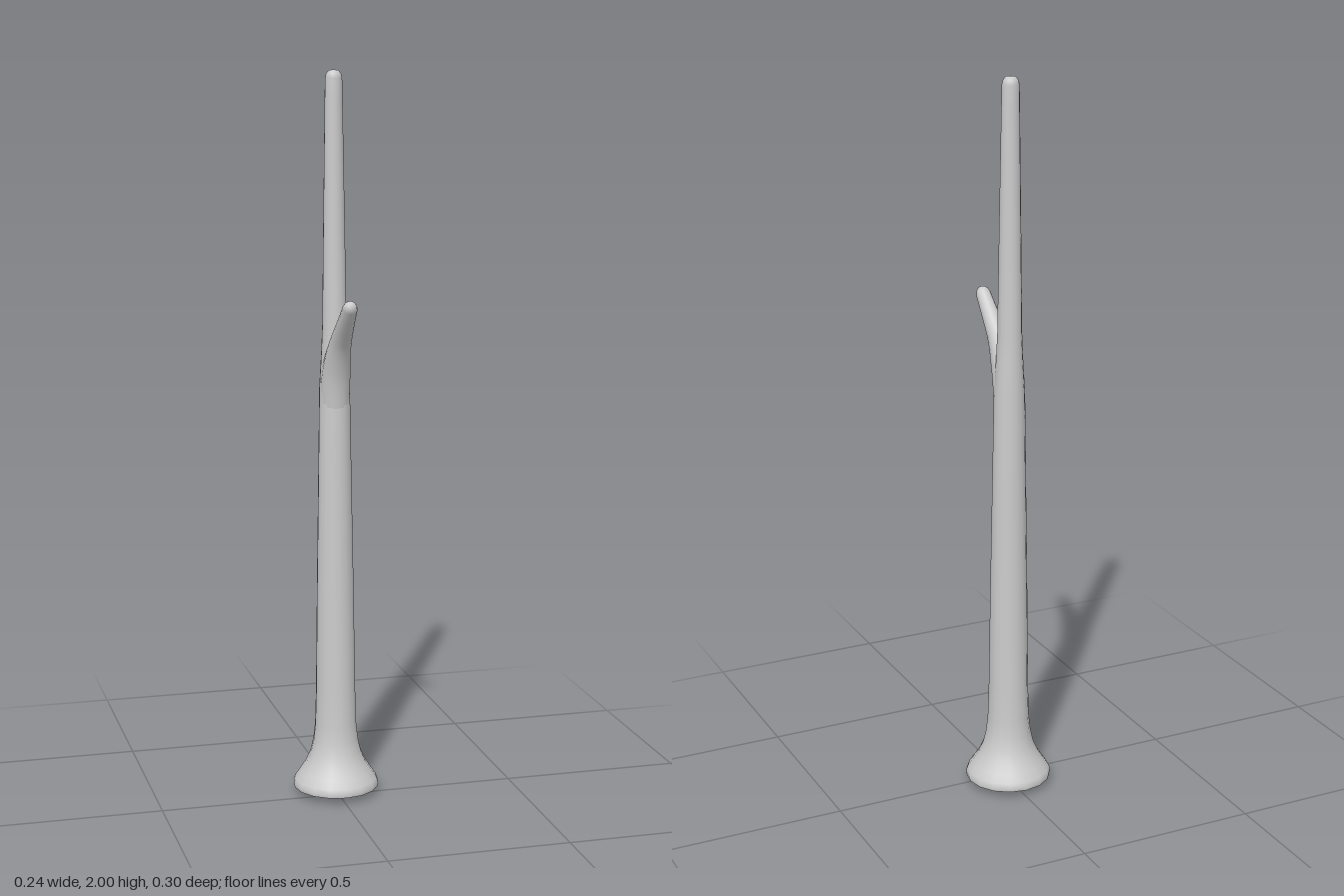
import * as THREE from 'three';
import { mergeVertices } from 'three/addons/utils/BufferGeometryUtils.js';

const SIDES = 16;
const AXIS_Z = -0.032;
const material = new THREE.MeshStandardMaterial({ color: 0xcccccc });

// Turned profile of [radius, height] pairs, welded so that it shades smoothly
function turned(profile, reshape) {
  let geo = new THREE.LatheGeometry(profile.map(([r, y]) => new THREE.Vector2(r, y)), SIDES);
  const pos = geo.attributes.position;
  const v = new THREE.Vector3();
  for (let i = 0; i < pos.count; i++) {
    reshape(v.fromBufferAttribute(pos, i));
    pos.setXYZ(i, v.x, v.y, v.z);
  }
  geo.deleteAttribute('normal');
  geo.deleteAttribute('uv');
  geo = mergeVertices(geo, 1e-5);
  geo.computeVertexNormals();
  return geo;
}

export function createModel() {
  const group = new THREE.Group();
  const add = (name, geo) => {
    const mesh = new THREE.Mesh(geo, material);
    mesh.name = name;
    group.add(mesh);
  };

  // The trunk drifts a little sideways as it rises
  const lean = (v) => v.set(v.x - 0.003 * v.y, v.y, v.z + AXIS_Z);

  // Trunk: flared foot, long taper, rounded top
  add('trunk', turned([
    [0.118, 0.02], [0.12, 0.03], [0.115, 0.043], [0.1, 0.065], [0.084, 0.09],
    [0.071, 0.12], [0.063, 0.155], [0.058, 0.2], [0.055, 0.3], [0.051, 0.6],
    [0.046, 0.9], [0.042, 1.15], [0.036, 1.25], [0.033, 1.32], [0.029, 1.6],
    [0.024, 1.92], [0.023, 1.978], [0.02, 1.99], [0.013, 1.998], [0, 2],
  ], lean));

  // Underside: shallow dome closing the foot
  add('footUnderside', turned([
    [0, 0], [0.05, 0.005], [0.09, 0.011], [0.118, 0.02],
  ], lean));

  // Branch: tapered profile bent along a curve leaving the front of the trunk
  const path = new THREE.CatmullRomCurve3([
    [1.08, -0.03], [1.17, -0.02], [1.24, 0.007], [1.293, 0.042], [1.345, 0.092], [1.403, 0.145],
  ].map(([y, z]) => new THREE.Vector3(-0.004, y, z)));
  const along = (v) => {
    const p = path.getPointAt(v.y);
    const t = path.getTangentAt(v.y);
    v.set(p.x + v.x, p.y - t.z * v.z, p.z + t.y * v.z);
  };
  add('branch', turned([
    [0.038, 0], [0.04, 0.12], [0.04, 0.24], [0.038, 0.34], [0.035, 0.44], [0.031, 0.53],
    [0.028, 0.61], [0.025, 0.72], [0.022, 0.84], [0.02, 0.945], [0.017, 0.972],
    [0.011, 0.992], [0, 1],
  ], along));

  return group;
}
